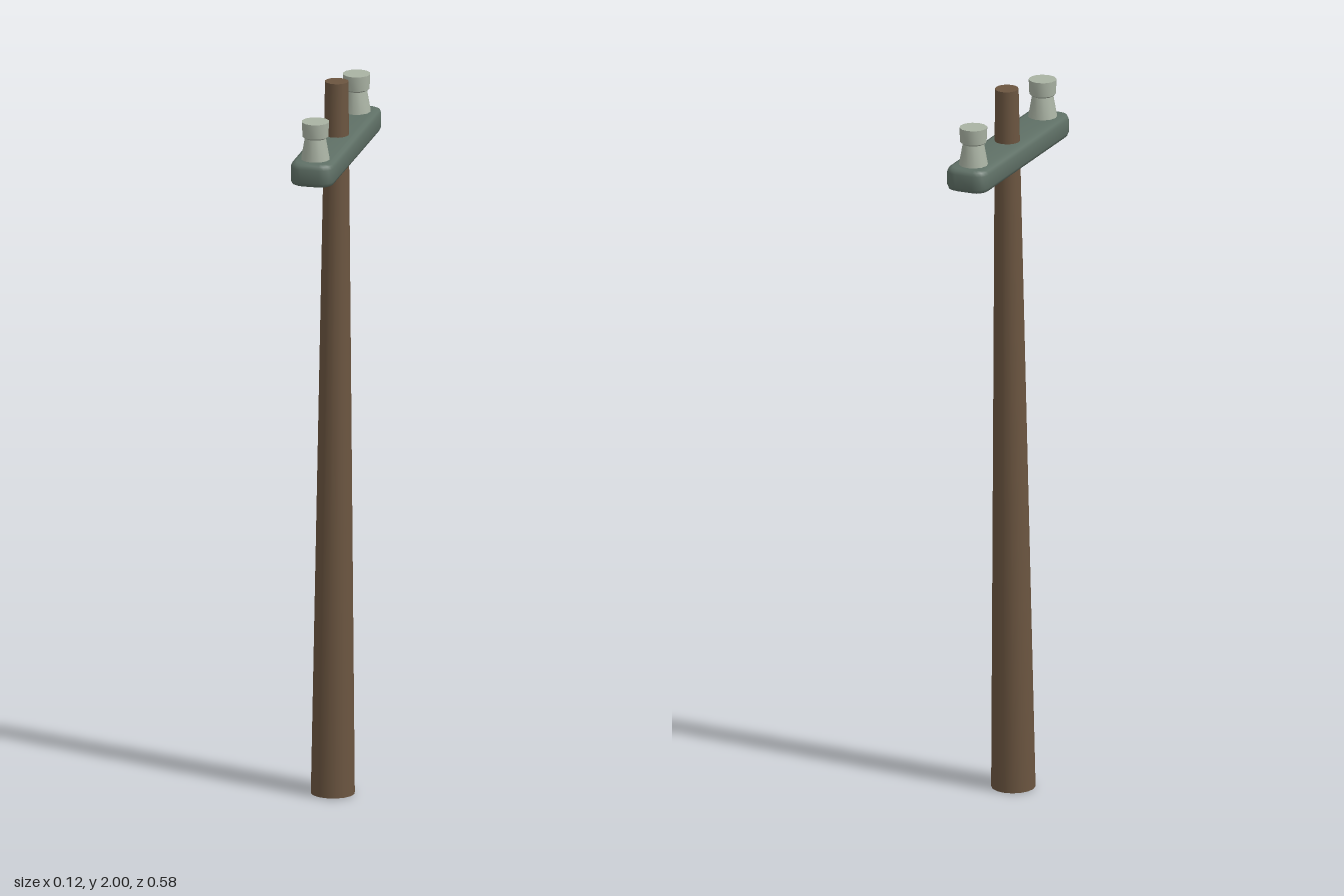
import * as THREE from 'three';
import { toCreasedNormals } from 'three/addons/utils/BufferGeometryUtils.js';

const wood = new THREE.MeshStandardMaterial({ color: 0x6b5540 });
wood.name = 'brown wood';
const paint = new THREE.MeshStandardMaterial({ color: 0x5f7066 });
paint.name = 'grey green paint';
const ceramic = new THREE.MeshStandardMaterial({ color: 0xa9b2a3 });
ceramic.name = 'pale ceramic';

function addMesh(parent, name, geometry, material) {
  const mesh = new THREE.Mesh(geometry, material);
  mesh.name = name;
  parent.add(mesh);
  return mesh;
}

// Rounded rectangle outline, centred on the origin
function roundedRect(hw, hh, r) {
  const s = new THREE.Shape();
  s.absarc(hw - r, hh - r, r, 0, Math.PI / 2);
  s.absarc(-hw + r, hh - r, r, Math.PI / 2, Math.PI);
  s.absarc(-hw + r, -hh + r, r, Math.PI, Math.PI * 1.5);
  s.absarc(hw - r, -hh + r, r, Math.PI * 1.5, Math.PI * 2);
  s.closePath();
  return s;
}

// Crossarm: soft-edged bar running front to back
function crossarmGeometry() {
  const bevel = 0.014, height = 0.065;
  const g = new THREE.ExtrudeGeometry(roundedRect(0.06, 0.292, 0.035), {
    depth: height - 2 * bevel, curveSegments: 2,
    bevelEnabled: true, bevelThickness: bevel, bevelSize: bevel,
    bevelOffset: -bevel, bevelSegments: 2,
  });
  g.translate(0, 0, bevel);
  g.rotateX(-Math.PI / 2);
  return toCreasedNormals(g, 0.9);
}

// Insulator: flared foot, narrow neck and cap
function insulatorGeometry() {
  const profile = [
    [0, 0], [0.04, 0], [0.029, 0.062], [0.036, 0.067], [0.038, 0.108], [0, 0.108],
  ].map(([x, y]) => new THREE.Vector2(x, y));
  return toCreasedNormals(new THREE.LatheGeometry(profile, 12), 0.6);
}

export function createModel() {
  const model = new THREE.Group();
  model.name = 'utilityPole';

  // Tapered pole with a slight backward lean
  const pole = addMesh(model, 'pole', new THREE.CylinderGeometry(0.032, 0.06, 1.998, 16), wood);
  pole.position.set(0, 1, 0.0135);
  pole.rotation.x = -0.0215;

  const arm = addMesh(model, 'crossarm', crossarmGeometry(), paint);
  arm.position.y = 1.785;

  // One insulator near each end of the crossarm
  const insulator = insulatorGeometry();
  for (const [name, z] of [['frontInsulator', 0.226], ['backInsulator', -0.226]]) {
    addMesh(model, name, insulator, ceramic).position.set(0, 1.847, z);
  }
  return model;
}
